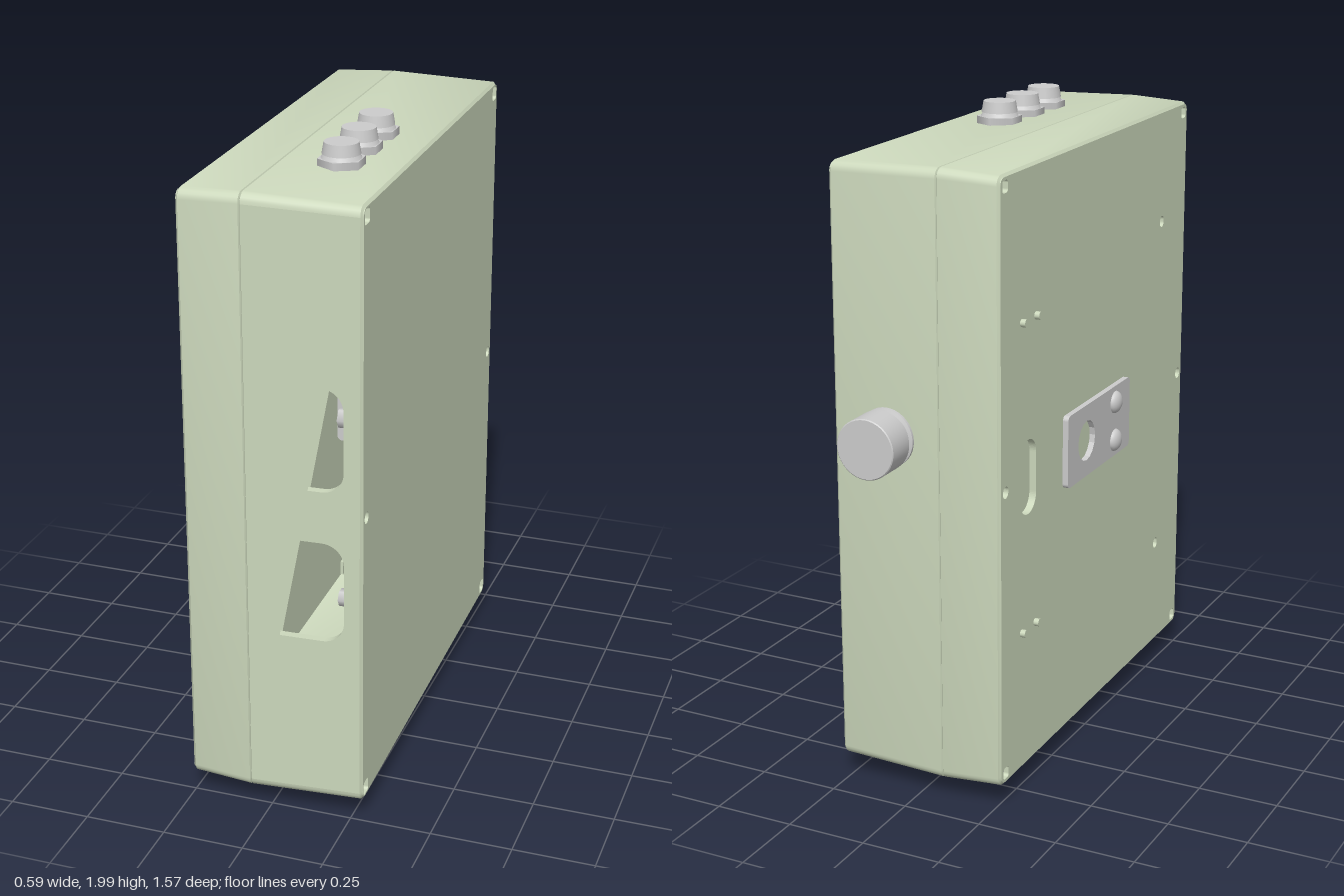
import * as THREE from 'three';
import { toCreasedNormals } from 'three/addons/utils/BufferGeometryUtils.js';

const shell = new THREE.MeshStandardMaterial({ color: 0xccd8bc, side: THREE.DoubleSide });
const metal = new THREE.MeshStandardMaterial({ color: 0xcccccc });

// Enclosure measurements: x of the two covers and the seam, half sizes in z and y
const LEFT = 0.28, RIGHT = -0.258, SEAM = -0.068, R = 0.03;
const seamSize = [0.72, 0.933], coverSize = [0.71, 0.925], rimSize = [0.702, 0.917];

function add(parent, name, geometry, material, x = 0, y = 0, z = 0) {
  const mesh = new THREE.Mesh(geometry, material);
  mesh.name = name;
  mesh.position.set(x, y, z);
  parent.add(mesh);
  return mesh;
}

// Rounded rectangle, used for outlines and holes
function roundedRect(Type, cx, cy, w, h, r) {
  const p = new Type(), a = w / 2 - r, b = h / 2 - r;
  p.absarc(cx + a, cy + b, r, 0, Math.PI / 2);
  p.absarc(cx - a, cy + b, r, Math.PI / 2, Math.PI);
  p.absarc(cx - a, cy - b, r, Math.PI, Math.PI * 1.5);
  p.absarc(cx + a, cy - b, r, Math.PI * 1.5, Math.PI * 2);
  p.closePath();
  return p;
}

const extrude = (shape, depth) =>
  new THREE.ExtrudeGeometry(shape, { depth, bevelEnabled: false, curveSegments: 8 });

// Skin through rounded rectangles [x, halfZ, halfY]; open leaves out the front wall
function loft(sections, open) {
  const points = [], index = [], seg = 5;
  const count = 4 * (seg + 1) + (open ? 0 : 1);
  for (const [x, hz, hy] of sections) {
    const ring = [];
    for (let c = 0; c < 4; c++) {
      const sz = c === 0 || c === 3 ? 1 : -1, sy = c < 2 ? 1 : -1;
      for (let k = 0; k <= seg; k++) {
        const a = (c + k / seg) * Math.PI / 2;
        ring.push([x, sy * (hy - R) + R * Math.sin(a), sz * (hz - R) + R * Math.cos(a)]);
      }
    }
    if (!open) ring.push(ring[0]);
    points.push(...ring.flat());
  }
  for (let j = 0; j < sections.length - 1; j++) {
    for (let i = 0; i < count - 1; i++) {
      const a = j * count + i, b = a + count;
      index.push(a, b, a + 1, b, b + 1, a + 1);
    }
  }
  const g = new THREE.BufferGeometry();
  g.setAttribute('position', new THREE.Float32BufferAttribute(points, 3));
  g.setIndex(index);
  return toCreasedNormals(g, 0.5);
}

// Front wall with two rounded windows, following the draft of the shell
function frontWall() {
  const x0 = SEAM + 0.003, x1 = LEFT - 0.008;
  const y0 = seamSize[1] - R, y1 = coverSize[1] - R;
  const s = new THREE.Shape([[x0, -y0], [x1, -y1], [x1, y1], [x0, y0]].map(p => new THREE.Vector2(...p)));
  for (const y of [0.237, -0.238]) s.holes.push(roundedRect(THREE.Path, 0.1, y, 0.25, 0.315, 0.065));
  const g = extrude(s, 0.025), p = g.attributes.position;
  for (let i = 0; i < p.count; i++) {
    const t = (p.getX(i) - x0) / (x1 - x0);
    p.setZ(i, p.getZ(i) - 0.025 + THREE.MathUtils.lerp(seamSize[0], coverSize[0], t));
  }
  g.computeVertexNormals();
  return g;
}

// Large side cover; side +1 faces +x, -1 faces -x
function cover(side) {
  const group = new THREE.Group(), face = side > 0 ? LEFT : RIGHT, depth = 0.022;
  group.name = side > 0 ? 'leftCover' : 'rightCover';
  const s = roundedRect(THREE.Shape, 0, 0, rimSize[0] * 2, rimSize[1] * 2, 0.022);
  for (const z of [-0.672, 0.672]) {
    for (const y of [-0.89, 0, 0.89]) {
      // Screw pocket with floor and screw head
      const w = side > 0 && y ? 0.044 : 0.036;
      s.holes.push(roundedRect(THREE.Path, -side * z, y, w, w, y ? 0.01 : 0.017));
      add(group, 'screwPocket', new THREE.BoxGeometry(0.01, 0.05, 0.05), shell, face - side * 0.027, y, z);
      const screw = add(group, 'coverScrew', new THREE.CylinderGeometry(0.012, 0.012, 0.01, 12), metal, face - side * 0.018, y, z);
      screw.rotation.z = Math.PI / 2;
    }
  }
  if (side < 0) {
    // Slot and small mounting holes
    s.holes.push(roundedRect(THREE.Path, -0.52, 0, 0.11, 0.23, 0.054));
    for (const y of [-0.56, 0.56]) s.holes.push(roundedRect(THREE.Path, 0.5, y, 0.032, 0.036, 0.015));
    for (const z of [-0.565, -0.47]) {
      for (const y of [-0.478, 0.478]) {
        const pin = add(group, 'mountingPin', new THREE.CylinderGeometry(0.012, 0.012, 0.02, 10), shell, face - 0.006, y, z);
        pin.rotation.z = Math.PI / 2;
      }
    }
  }
  const panel = add(group, 'coverPanel', extrude(s, depth), shell, face - side * depth);
  panel.rotation.y = side * Math.PI / 2;
  return group;
}

// Cable gland standing on its hexagonal flange, pointing up
function gland() {
  const group = new THREE.Group();
  group.name = 'cableGland';
  add(group, 'hexFlange', new THREE.CylinderGeometry(0.07, 0.07, 0.024, 6), metal, 0, 0.014);
  add(group, 'glandNeck', new THREE.CylinderGeometry(0.048, 0.06, 0.02, 24), metal, 0, 0.034);
  add(group, 'glandCap', new THREE.CylinderGeometry(0.05, 0.056, 0.034, 24), metal, 0, 0.055);
  return group;
}

export function createModel() {
  const model = new THREE.Group();
  model.name = 'controlBox';
  const box = new THREE.Group();
  box.name = 'enclosure';
  box.position.set(0, 1.003, 0.06);
  box.rotation.y = 0.016;
  model.add(box);

  // Shell in two halves that meet at a fine groove
  const groove = seamSize.map(v => v - 0.004);
  add(box, 'rightShell', loft([
    [RIGHT, ...rimSize], [RIGHT + 0.008, ...coverSize], [SEAM - 0.003, ...seamSize],
    [SEAM, ...groove], [SEAM + 0.003, ...seamSize]], false), shell);
  add(box, 'leftShell', loft([[SEAM + 0.003, ...seamSize], [LEFT - 0.008, ...coverSize]], true), shell);
  add(box, 'leftRim', loft([[LEFT - 0.008, ...coverSize], [LEFT, ...rimSize]], false), shell);
  add(box, 'frontWall', frontWall(), shell);
  box.add(cover(1), cover(-1));

  // Three glands on the top and three below
  for (const z of [0.042, 0.205, 0.365]) {
    for (const side of [1, -1]) {
      const g = gland();
      g.position.set(0.106, side * 0.925, z);
      if (side < 0) g.rotation.x = Math.PI;
      box.add(g);
    }
  }

  // Large connector on the back, passing through the wall
  const profile = [[0, -0.04], [0.08, -0.04], [0.08, 0], [0.09, 0], [0.09, 0.016], [0.08, 0.02],
    [0.08, 0.038], [0.092, 0.04], [0.092, 0.134], [0.089, 0.137], [0, 0.137]];
  const lathe = new THREE.LatheGeometry(profile.map(p => new THREE.Vector2(...p)), 40);
  const connector = add(box, 'backConnector', toCreasedNormals(lathe, 0.5), metal, 0.103, 0.13, -0.71);
  connector.rotation.x = -Math.PI / 2;

  // Latch and nut just inside the windows
  add(box, 'windowLatch', extrude(roundedRect(THREE.Shape, 0, 0, 0.03, 0.155, 0.014), 0.02), metal, 0.21, 0.307, 0.655);
  for (const [y, r] of [[0.3, 0.03], [-0.263, 0.026]]) {
    const nut = add(box, 'windowNut', new THREE.CylinderGeometry(r, r, 0.035, 6), metal, 0.22, y, 0.675);
    nut.rotation.z = Math.PI / 2;
  }

  // Bracket plate on the -x cover with a round hole and two domed bolts
  const plate = roundedRect(THREE.Shape, -0.035, 0, 0.48, 0.23, 0.015);
  plate.holes.push(new THREE.Path().absarc(-0.135, 0, 0.064, 0, Math.PI * 2));
  const bracket = add(box, 'bracketPlate', extrude(plate, 0.018), metal, RIGHT);
  bracket.rotation.y = -Math.PI / 2;
  for (const y of [0.063, -0.063]) {
    const dome = new THREE.SphereGeometry(0.036, 20, 8, 0, Math.PI * 2, 0, Math.PI / 2);
    dome.scale(1, 0.6, 1).rotateZ(Math.PI / 2);
    add(box, 'bracketBolt', dome, metal, RIGHT - 0.018, y, 0.085);
  }
  return model;
}
